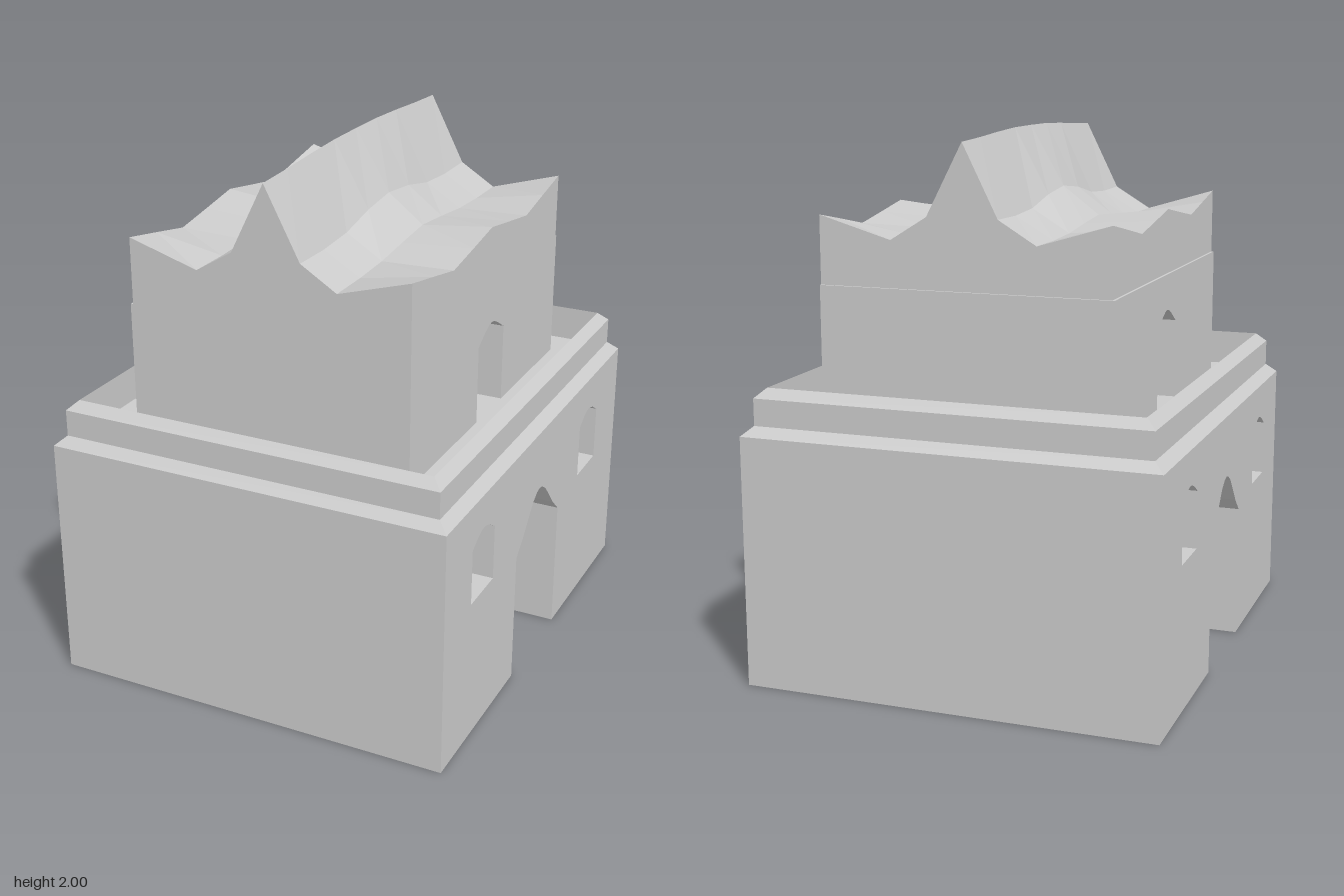
import * as THREE from 'three';

const material = new THREE.MeshStandardMaterial({ color: 0xcccccc, flatShading: true });

function addMesh(parent, geometry, name) {
  const mesh = new THREE.Mesh(geometry, material);
  mesh.name = name;
  parent.add(mesh);
}

// Outline of an arched opening (depth z, height y), from its -s foot to its +s foot.
// Profile rows: [fraction of half width, height].
function archPoints(z, half, bottom, profile) {
  const side = (sign) => profile.map(([f, y]) => new THREE.Vector2(-z + sign * f * half, y));
  const right = side(1).reverse().slice(profile[profile.length - 1][0] === 0 ? 1 : 0);
  return [
    new THREE.Vector2(-z - half, bottom), ...side(-1),
    ...right, new THREE.Vector2(-z + half, bottom),
  ];
}

// Block extruded along x, with a doorway cut from its foot and optional window tunnels.
function pierced(x0, x1, z0, z1, y0, y1, door, windows = []) {
  const shape = new THREE.Shape([
    new THREE.Vector2(-z1, y0), ...door,
    new THREE.Vector2(-z0, y0), new THREE.Vector2(-z0, y1), new THREE.Vector2(-z1, y1),
  ]);
  windows.forEach((w) => shape.holes.push(new THREE.Path(w)));
  const geometry = new THREE.ExtrudeGeometry(shape, { depth: x1 - x0, bevelEnabled: false });
  return geometry.rotateY(Math.PI / 2).translate(x0, 0, 0);
}

function fromQuads(quads) {
  const positions = [];
  quads.forEach(([a, b, c, d]) => positions.push(...a, ...b, ...c, ...a, ...c, ...d));
  const geometry = new THREE.BufferGeometry();
  geometry.setAttribute('position', new THREE.Float32BufferAttribute(positions, 3));
  geometry.computeVertexNormals();
  return geometry;
}

// Rectangular rings [halfX, halfZ, y] joined from first to last, the last one closed.
function steppedRings(rings) {
  const loops = rings.map(([x, z, y]) => [[-x, y, z], [x, y, z], [x, y, -z], [-x, y, -z]]);
  const quads = [];
  for (let i = 0; i + 1 < loops.length; i++) {
    for (let k = 0; k < 4; k++) {
      const n = (k + 1) % 4;
      quads.push([loops[i][k], loops[i][n], loops[i + 1][n], loops[i + 1][k]]);
    }
  }
  quads.push(loops[loops.length - 1]);
  return fromQuads(quads);
}

// Upper storey: walls with a rippling, ridged roof, symmetric front to back.
function roofBlock(x0, x1, z0, z1, base) {
  const eave = [1.71, 1.678, 1.645, 1.672, 1.70];
  const valley = [1.63, 1.63, 1.637, 1.655, 1.67];
  const shoulder = [1.715, 1.712, 1.722, 1.757, 1.775];
  const ridge = [1.975, 1.982, 1.992, 1.999, 2.0];
  const columns = [
    [x0, eave], [-0.26, valley], [-0.12, shoulder], [0.01, ridge],
    [0.145, shoulder], [0.282, valley], [x1, eave],
  ];
  const rows = 8;
  const top = (i, j) => [
    columns[i][0], columns[i][1][Math.min(j, rows - j)], z0 + (z1 - z0) * j / rows,
  ];
  const foot = (i, j) => { const p = top(i, j); return [p[0], base, p[2]]; };
  const last = columns.length - 1;
  const quads = [];
  for (let i = 0; i < last; i++) {
    for (let j = 0; j < rows; j++) {
      quads.push([top(i, j), top(i, j + 1), top(i + 1, j + 1), top(i + 1, j)]);
    }
    quads.push([foot(i, rows), foot(i + 1, rows), top(i + 1, rows), top(i, rows)]);
    quads.push([foot(i + 1, 0), foot(i, 0), top(i, 0), top(i + 1, 0)]);
  }
  for (let j = 0; j < rows; j++) {
    quads.push([foot(0, j), foot(0, j + 1), top(0, j + 1), top(0, j)]);
    quads.push([foot(last, j + 1), foot(last, j), top(last, j), top(last, j + 1)]);
  }
  return fromQuads(quads);
}

export function createModel() {
  const model = new THREE.Group();
  model.name = 'gatehouse';

  // Gatehouse base with the passage and two windows running through it
  const gate = archPoints(0.005, 0.225, 0, [
    [1, 0.51], [0.72, 0.565], [0.5, 0.62], [0.3, 0.668], [0.13, 0.693], [0, 0.70],
  ]);
  const windows = [0.57, -0.55].map((z) => archPoints(z, 0.102, 0.55, [
    [1, 0.762], [0.5, 0.792], [0.2, 0.803], [0, 0.806],
  ]));
  addMesh(model, pierced(-0.778, 0.778, -0.908, 0.908, 0, 0.935, gate, windows), 'base');

  // Stepped cornice, parapet and sunken terrace
  addMesh(model, steppedRings([
    [0.778, 0.908, 0.935], [0.738, 0.873, 0.97], [0.738, 0.873, 1.07],
    [0.70, 0.838, 1.105], [0.70, 0.838, 0.97],
  ]), 'parapetAndTerrace');

  // Tower storey with a doorway from side to side
  const doorway = archPoints(-0.012, 0.123, 0.97, [
    [1, 1.268], [0.5, 1.305], [0.2, 1.322], [0, 1.326],
  ]);
  addMesh(model, pierced(-0.54, 0.555, -0.693, 0.712, 0.97, 1.46, doorway), 'towerStorey');

  // Upper storey and roof
  addMesh(model, roofBlock(-0.53, 0.555, -0.683, 0.712, 1.46), 'roof');

  model.rotation.y = 0.006;
  return model;
}
